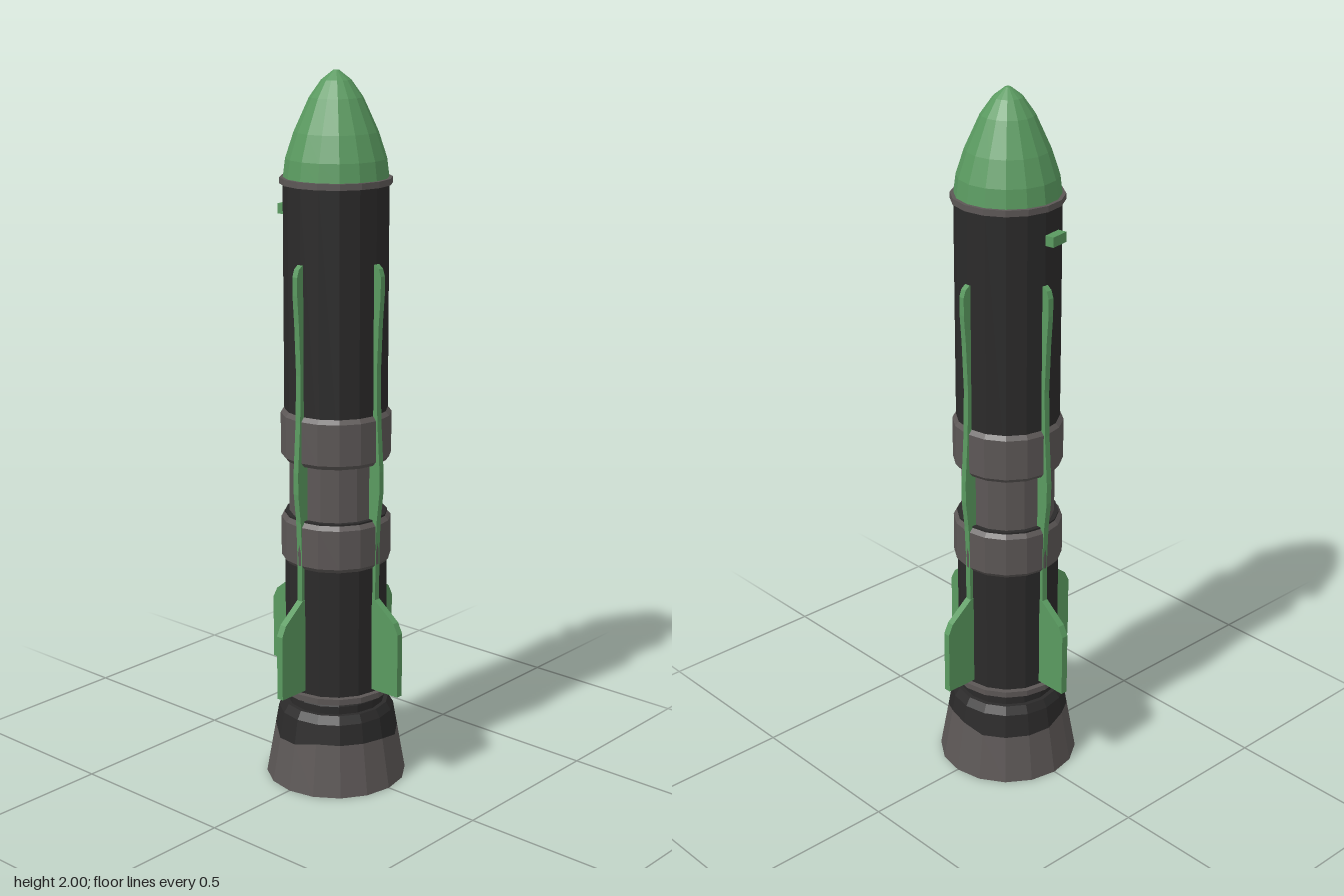
import * as THREE from 'three';

const SIDES = 16;
const green = new THREE.MeshStandardMaterial({ color: 0x5a9a60 });
green.name = 'green paint';
const black = new THREE.MeshStandardMaterial({ color: 0x2b2a2a });
black.name = 'black paint';
const grey = new THREE.MeshStandardMaterial({ color: 0x5c5756 });
grey.name = 'grey metal';

// Flat facets without touching the material
function facet(geometry) {
  const flat = geometry.index ? geometry.toNonIndexed() : geometry;
  flat.computeVertexNormals();
  return flat;
}

function part(name, geometry, material) {
  const mesh = new THREE.Mesh(facet(geometry), material);
  mesh.name = name;
  return mesh;
}

// Profile of [radius, height] pairs, bottom to top
function lathe(profile) {
  return new THREE.LatheGeometry(profile.map(([r, y]) => new THREE.Vector2(r, y)), SIDES);
}

// Nozzle wall and its wavy paint line
const wallRadius = (y) => 0.2 - 0.175 * y;
function wavyLathe(profile, row) {
  const geometry = lathe(profile);
  const pos = geometry.attributes.position;
  for (let i = 0; i <= SIDES; i++) {
    const a = ((i % SIDES) / SIDES) * Math.PI * 2;
    const y = 0.143 + 0.01 * Math.sin(3 * a + 3.6) + 0.006 * Math.cos(5 * a);
    const r = wallRadius(y);
    pos.setXYZ(i * profile.length + row, r * Math.sin(a), y, r * Math.cos(a));
  }
  return geometry;
}

// Plate in the x-y plane, centred on z
function plate(points, thickness) {
  const shape = new THREE.Shape(points.map(([x, y]) => new THREE.Vector2(x, y)));
  const geometry = new THREE.ExtrudeGeometry(shape, { depth: thickness, bevelEnabled: false });
  return geometry.translate(0, 0, -thickness / 2);
}

export function createModel() {
  const model = new THREE.Group();
  model.name = 'missile';

  // Nose, body and collars
  model.add(part('noseCone', lathe([
    [0.143, 1.715], [0.136, 1.77], [0.113, 1.84], [0.072, 1.93], [0.04, 1.975], [0.008, 2], [0, 2],
  ]), green));
  model.add(part('noseRing', lathe([
    [0.13, 1.703], [0.152, 1.703], [0.152, 1.72], [0.13, 1.72],
  ]), grey));
  model.add(part('upperBody', lathe([[0.125, 0.95], [0.143, 0.95], [0.143, 1.71], [0, 1.71]]), black));
  model.add(part('lowerBody', lathe([[0, 0.27], [0.143, 0.27], [0.143, 0.79], [0.125, 0.79]]), black));
  model.add(part('waist', lathe([[0.13, 0.77], [0.13, 0.96]]), grey));
  for (const [name, bottom, top] of [['lowerBand', 0.65, 0.785], ['upperBand', 0.945, 1.085]]) {
    model.add(part(name, lathe([
      [0.125, bottom], [0.143, bottom], [0.153, bottom + 0.012],
      [0.153, top - 0.012], [0.143, top], [0.125, top],
    ]), grey));
  }
  model.add(part('tailRing', lathe([
    [0.12, 0.264], [0.159, 0.264], [0.159, 0.281], [0.12, 0.281],
  ]), grey));
  model.add(part('tailCollar', lathe([[0.138, 0.21], [0.138, 0.25], [0.13, 0.27]]), black));

  // Nozzle
  model.add(part('nozzleTop', wavyLathe([
    [0.175, 0.143], [wallRadius(0.205), 0.205], [0.15, 0.228], [0.12, 0.228],
  ], 0), black));
  model.add(part('nozzleSkirt', wavyLathe([[0.2, 0], [0.175, 0.143]], 1), grey));
  model.add(part('nozzleLip', lathe([[0.165, 0], [0.2, 0]]), black));
  model.add(part('nozzleInside', lathe([[0, 0.17], [0.12, 0.17], [0.165, 0]]), grey));

  // Four long rails, each with a tail fin
  for (let i = 0; i < 4; i++) {
    const wing = new THREE.Group();
    wing.name = 'finAssembly' + (i + 1);
    wing.add(part('rail', plate([
      [0.12, 0.3], [0.152, 0.3], [0.152, 0.7], [0.156, 0.79], [0.165, 0.87], [0.165, 0.93],
      [0.156, 1.07], [0.153, 1.2], [0.159, 1.34], [0.165, 1.42], [0.165, 1.47],
      [0.158, 1.49], [0.145, 1.5], [0.12, 1.5],
    ], 0.017), green));
    wing.add(part('tailFin', plate([
      [0.12, 0.29], [0.235, 0.29], [0.235, 0.475], [0.22, 0.505], [0.15, 0.56], [0.12, 0.56],
    ], 0.02), green));
    wing.rotation.y = (i * Math.PI) / 2;
    model.add(wing);
  }

  // Small bracket high on the back
  const bracket = part('bracket', new THREE.BoxGeometry(0.058, 0.028, 0.026), green);
  bracket.position.set(-0.028, 1.625, -0.152);
  bracket.rotation.y = 0.19;
  model.add(bracket);

  return model;
}
